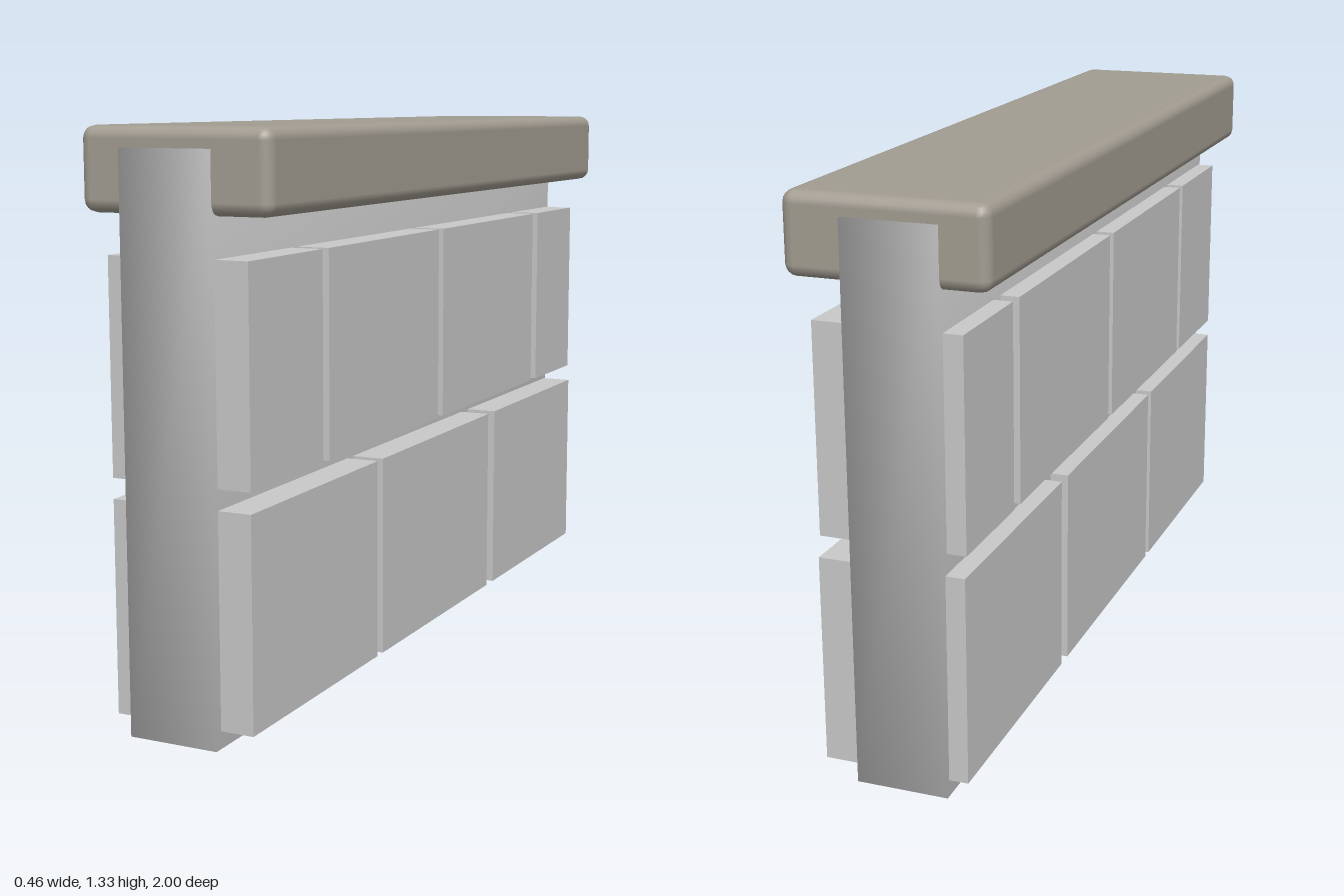
import * as THREE from 'three';
import { mergeVertices } from 'three/addons/utils/BufferGeometryUtils.js';
import { RoundedBoxGeometry } from 'three/addons/geometries/RoundedBoxGeometry.js';

const stone = new THREE.MeshStandardMaterial({ name: 'greyStone', color: 0xc8c8c8 });
const capStone = new THREE.MeshStandardMaterial({ name: 'warmCapStone', color: 0xa29c91 });

function addMesh(parent, name, geometry, material, x, y, z) {
  const mesh = new THREE.Mesh(geometry, material);
  mesh.name = name;
  mesh.position.set(x, y, z);
  parent.add(mesh);
  return mesh;
}

// Box whose corners share averaged normals, for soft shading
function softBox(w, h, d) {
  const box = new THREE.BoxGeometry(w, h, d);
  box.deleteAttribute('normal');
  box.deleteAttribute('uv');
  const soft = mergeVertices(box);
  soft.computeVertexNormals();
  return soft;
}

export function createModel() {
  const wall = new THREE.Group();
  wall.name = 'stoneWall';

  // Mortar core, slightly off centre
  addMesh(wall, 'wallCore', softBox(0.217, 1.282, 2), stone, -0.0175, 0.641, 0);

  // Courses of blocks that pass through the core and stand out on both sides
  const courses = [
    { name: 'lowerBlock', y0: 0.04, y1: 0.525, spans: [[0.98, 0.37], [0.34, -0.335], [-0.38, -0.99]] },
    { name: 'upperBlock', y0: 0.572, y1: 1.055, spans: [[0.98, 0.65], [0.62, 0.01], [-0.02, -0.66], [-0.7, -0.98]] },
  ];
  const blocks = new THREE.Group();
  blocks.name = 'blocks';
  wall.add(blocks);
  for (const { name, y0, y1, spans } of courses) {
    spans.forEach(([front, back], i) => {
      const geometry = new THREE.BoxGeometry(0.342, y1 - y0, front - back);
      addMesh(blocks, name + (i + 1), geometry, stone, 0, (y0 + y1) / 2, (front + back) / 2);
    });
  }

  // Coping slab with softened edges
  addMesh(wall, 'copingSlab', new RoundedBoxGeometry(0.463, 0.185, 1.982, 2, 0.028), capStone, -0.002, 1.236, -0.002);

  return wall;
}
